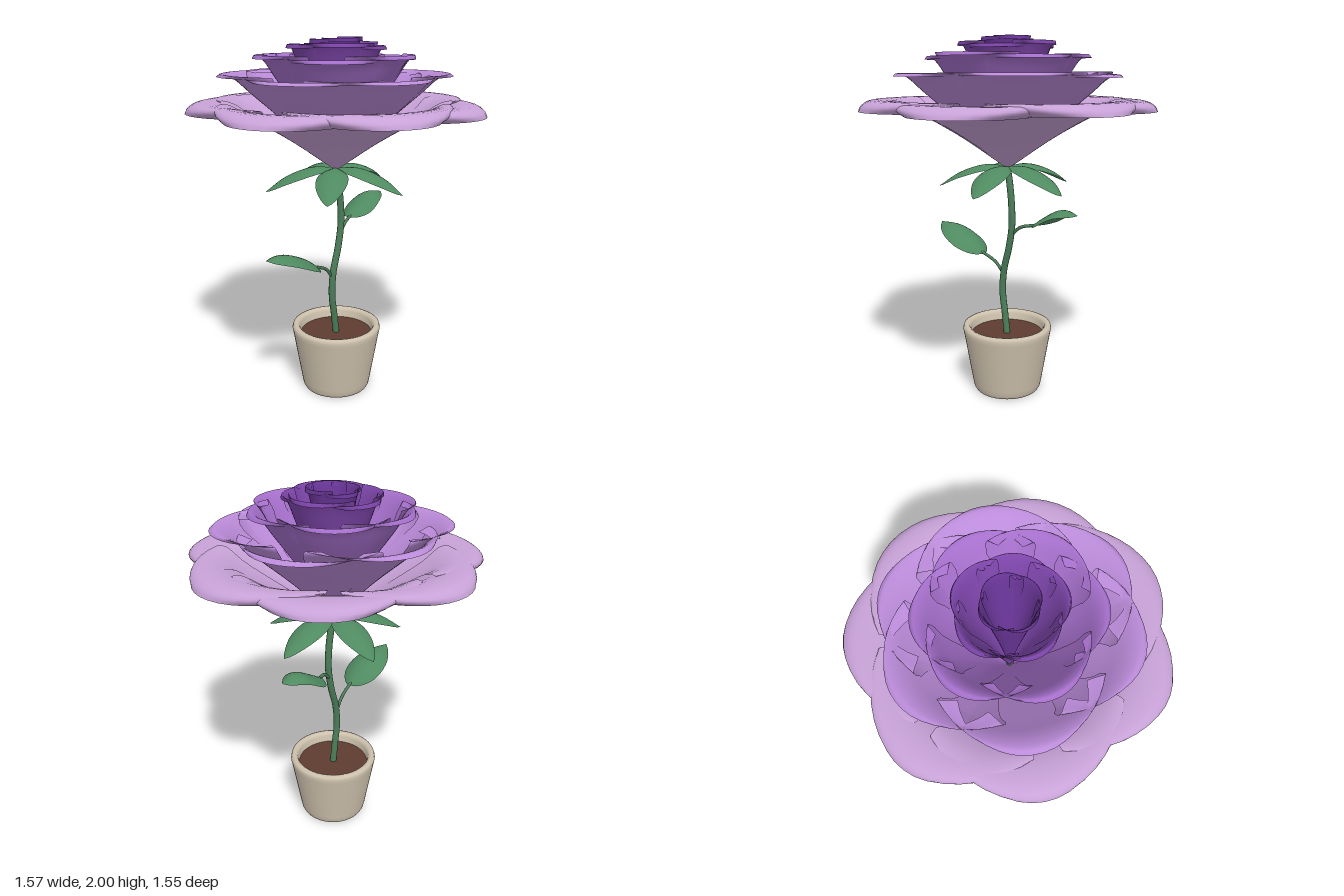
import * as THREE from 'three';

const V = (x, y, z) => new THREE.Vector3(x, y, z);

function material(name, color, double = false) {
  const m = new THREE.MeshStandardMaterial({ color });
  m.name = name;
  if (double) m.side = THREE.DoubleSide;
  return m;
}

// Sheet of quads: fn(u, v) with u in -1..1 across and v in 0..1 along
function sheet(fn, nu, nv) {
  const pos = [], index = [];
  for (let j = 0; j <= nv; j++) {
    for (let i = 0; i <= nu; i++) pos.push(...fn((i / nu) * 2 - 1, j / nv).toArray());
  }
  for (let j = 0; j < nv; j++) {
    for (let i = 0; i < nu; i++) {
      const a = j * (nu + 1) + i, b = a + 1, c = a + nu + 1, d = c + 1;
      index.push(a, b, c, b, d, c);
    }
  }
  const g = new THREE.BufferGeometry();
  g.setAttribute('position', new THREE.Float32BufferAttribute(pos, 3));
  g.setIndex(index);
  g.computeVertexNormals();
  return g;
}

// Pointed leaf along a curve, with its sides drooping
function leafGeometry(points, halfWidth, droop) {
  const curve = new THREE.CatmullRomCurve3(points);
  return sheet((u, v) => {
    const p = curve.getPoint(v);
    const w = halfWidth * Math.pow(Math.sin(Math.PI * Math.pow(v, 0.9)), 0.8) || 0;
    p.z += u * w;
    p.y -= droop * u * u * w;
    return p;
  }, 8, 16);
}

// Petal: a sector of a flaring cone whose corners are cut back and stand proud
function petalGeometry(R, H, profile, W, k) {
  const curve = new THREE.CatmullRomCurve3(profile.map(([r, h]) => V(r, h, 0)));
  return sheet((u, v) => {
    const p = curve.getPoint(v);
    const spread = (0.65 + 0.35 * Math.min(1, v * 2)) * (1 - 0.2 * Math.pow(v, 6));
    const a = u * W * spread;
    const r = R * p.x * (1 - k * u * u * v * v);
    return V(r * Math.cos(a), H * p.y, r * Math.sin(a));
  }, 18, 20);
}

export function createModel() {
  const model = new THREE.Group();
  const add = (parent, name, geometry, mat) => {
    const mesh = new THREE.Mesh(geometry, mat);
    mesh.name = name;
    parent.add(mesh);
    return mesh;
  };

  const potMat = material('cream clay', 0xcfc3ae);
  const soilMat = material('brown soil', 0x5f3c30);
  const stemMat = material('stem green', 0x4a7d58);
  const leafMat = material('leaf green', 0x4f8a60, true);

  // Pot with a rounded lip, and the soil inside
  const pot = [[0, 0], [0.17, 0], [0.185, 0.004], [0.194, 0.02], [0.2, 0.05], [0.25, 0.345],
    [0.255, 0.37], [0.25, 0.388], [0.235, 0.394], [0.218, 0.388], [0.21, 0.37], [0.2, 0.3]];
  add(model, 'pot', new THREE.LatheGeometry(pot.map(([x, y]) => new THREE.Vector2(x, y)), 48), potMat)
    .position.set(-0.02, 0, 0.005);
  add(model, 'soil', new THREE.CylinderGeometry(0.206, 0.2, 0.02, 40), soilMat)
    .position.set(-0.02, 0.325, 0.005);

  // Winding stem
  const tube = (name, pts, r, seg) => add(model, name,
    new THREE.TubeGeometry(new THREE.CatmullRomCurve3(pts), seg, r, 10), stemMat);
  tube('stem', [V(-0.02, 0.32, 0.005), V(-0.038, 0.45, 0.005), V(-0.056, 0.58, 0.005),
    V(-0.045, 0.71, 0.005), V(-0.005, 0.85, 0.005), V(0.018, 0.98, 0.005),
    V(0.015, 1.1, 0.005), V(0, 1.21, 0.003), V(-0.025, 1.32, 0)], 0.019, 48);

  // Two leaves on stalks
  tube('rightLeafStalk', [V(0.018, 0.93, 0), V(0.07, 0.975, -0.01), V(0.15, 0.995, -0.04)], 0.009, 10);
  add(model, 'rightLeaf', leafGeometry([V(0.13, 0.99, -0.05), V(0.22, 1.05, -0.05),
    V(0.33, 1.105, -0.05), V(0.44, 1.09, -0.05)], 0.098, 0.45), leafMat);
  tube('leftLeafStalk', [V(-0.05, 0.68, 0), V(-0.11, 0.745, 0.01), V(-0.21, 0.79, 0.025)], 0.009, 10);
  add(model, 'leftLeaf', leafGeometry([V(-0.19, 0.78, 0.025), V(-0.3, 0.86, 0.025),
    V(-0.44, 0.915, 0.025), V(-0.565, 0.915, 0.025)], 0.115, 0.45), leafMat);

  // Five sepals arching down below the bloom
  const sepals = new THREE.Group();
  sepals.name = 'sepals';
  sepals.position.set(-0.018, 1.31, 0);
  const sepalGeo = leafGeometry([V(0.005, 0, 0), V(0.13, 0.006, 0), V(0.27, -0.04, 0), V(0.39, -0.12, 0)], 0.085, 0.35);
  for (let i = 0; i < 5; i++) {
    add(sepals, 'sepal', sepalGeo, leafMat).rotation.y = -i * Math.PI * 0.4;
  }
  model.add(sepals);

  // Rings of petals from the outside in
  const open = [[0.03, 0], [0.33, 0.46], [0.6, 0.8], [0.78, 0.99], [0.92, 1], [0.98, 0.93], [1, 0.85]];
  const cup = [[0.04, 0], [0.37, 0.42], [0.72, 0.8], [0.87, 0.96], [0.96, 1], [1, 0.97]];
  const rings = [
    { name: 'outerPetals', color: 0xc8a2d8, R: 0.795, top: 1.67, n: 7, W: 0.82, k: 0.36, start: -1.57, shape: open },
    { name: 'secondPetals', color: 0xbb8bd9, R: 0.625, top: 1.81, n: 6, W: 0.88, k: 0.3, start: -1.35, shape: cup },
    { name: 'thirdPetals', color: 0xa56fcb, R: 0.445, top: 1.905, n: 6, W: 0.85, k: 0.24, start: -1.7, shape: cup },
    { name: 'fourthPetals', color: 0x7d45aa, R: 0.268, top: 1.965, n: 5, W: 0.95, k: 0.2, start: -1.45, shape: cup },
    { name: 'innerPetals', color: 0x6a3699, R: 0.145, top: 1.995, n: 4, W: 1.1, k: 0.2, start: -1.2, shape: cup },
  ];
  rings.forEach((ring, r) => {
    const group = new THREE.Group();
    group.name = ring.name;
    group.position.set(-0.018, 1.31, 0);
    const mat = material(ring.name + ' purple', ring.color, true);
    const geo = petalGeometry(ring.R, ring.top - 1.31, ring.shape, ring.W, ring.k);
    for (let i = 0; i < ring.n; i++) {
      const petal = add(group, 'petal', geo, mat);
      const jitter = 0.07 * Math.sin(i * 2.4 + r);
      petal.rotation.y = -(ring.start + (i * 2 * Math.PI) / ring.n + jitter);
      petal.scale.y = 1 + 0.014 * Math.sin(i * 3.7 + r * 1.3);
    }
    model.add(group);
  });

  return model;
}
